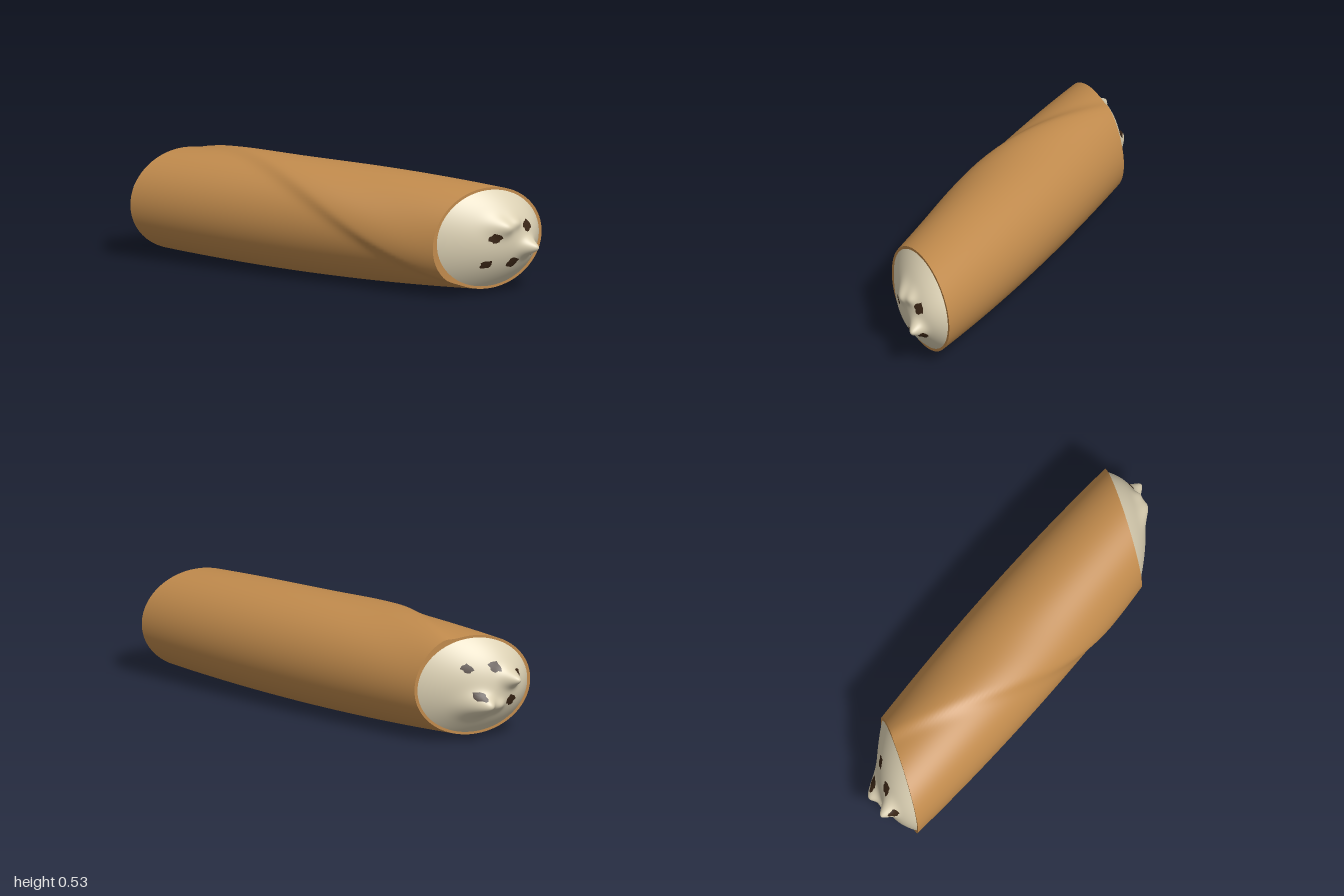
import * as THREE from 'three';
import { mergeVertices } from 'three/addons/utils/BufferGeometryUtils.js';

const CY = 0.26;      // height of the roll's axis
const INNER = 0.222;  // radius of the opening
const HALF = 0.78;    // half length along the axis
const SLANT = 0.63;   // both ends are cut on this diagonal

const shellMat = new THREE.MeshStandardMaterial({ color: 0xc08a4c, name: 'bakedPastry' });
const creamMat = new THREE.MeshStandardMaterial({ color: 0xdbd0b3, name: 'cream' });
const chipMat = new THREE.MeshStandardMaterial({ color: 0x3a2616, name: 'chocolate' });

const gauss = (d2, w) => Math.exp(-d2 / (w * w));

// Outer radius: slight barrel plus the overlapping flap that spirals around
function shellRadius(t, a) {
  const base = 0.259 - 0.025 * t * t;
  const x = HALF * t - SLANT * base * Math.sin(a);
  let d = a - (0.95 + 2 * x);
  d = Math.atan2(Math.sin(d), Math.cos(d));
  const flap = d > 0 ? gauss(d * d, 0.17) : gauss(d * d, 0.6);
  return base + 0.016 * flap;
}

function shellPoint(t, a, r) {
  const z = r * Math.sin(a);
  return [HALF * t - SLANT * z, CY + r * Math.cos(a), z];
}

// Closed rings of points joined into a smooth skin
function skin(rows, cols, point) {
  const pos = [], idx = [];
  for (let i = 0; i <= rows; i++) {
    for (let j = 0; j < cols; j++) pos.push(...point(i, (j / cols) * Math.PI * 2));
  }
  for (let i = 0; i < rows; i++) {
    for (let j = 0; j < cols; j++) {
      const k = (j + 1) % cols;
      const a = i * cols + j, b = i * cols + k, c = a + cols, d = b + cols;
      idx.push(a, b, c, b, d, c);
    }
  }
  const g = new THREE.BufferGeometry();
  g.setAttribute('position', new THREE.Float32BufferAttribute(pos, 3));
  g.setIndex(idx);
  g.computeVertexNormals();
  return g;
}

// Cream peaks of each end: [y, z, height, width]
const peaks = {
  1: [[0.22, -0.075, 0.062, 0.036], [0.33, 0.04, 0.04, 0.04], [0.345, -0.02, 0.02, 0.03]],
  '-1': [[0.305, 0.072, 0.062, 0.036], [0.19, -0.06, 0.08, 0.05], [0.18, 0.02, 0.02, 0.03]],
};
// Chips: [y, z, radius]
const chips = [[0.28, 0.07, 0.023], [0.32, -0.08, 0.028], [0.157, 0.082, 0.021],
  [0.157, -0.018, 0.026], [0.197, -0.114, 0.02]];

// Height of the cream beyond the slanted opening
function creamX(side, y, z) {
  const q = Math.min(1, ((y - CY) ** 2 + z * z) / (INNER * INNER));
  let h = 0.128 * (1 - q);
  for (const [py, pz, ph, pw] of peaks[side]) {
    h += ph * gauss((y - py) ** 2 + (z - pz) ** 2, pw) * Math.min(1, 4 * (1 - q));
  }
  return side * (HALF + h) - SLANT * z;
}

// Lay a flat disc geometry over the cream surface
function drape(flat, side, y0, z0, lift) {
  flat.deleteAttribute('uv');
  flat.deleteAttribute('normal');
  const g = mergeVertices(flat, 1e-5);
  const p = g.attributes.position;
  for (let i = 0; i < p.count; i++) {
    const y = y0 + p.getY(i), z = z0 - side * p.getX(i);
    p.setXYZ(i, creamX(side, y, z) + side * lift, y, z);
  }
  g.computeVertexNormals();
  return g;
}

// Ragged little disc
function chipDisc(r, seed) {
  const g = new THREE.RingGeometry(0, r, 14, 5);
  const p = g.attributes.position;
  for (let i = 0; i < p.count; i++) {
    const x = p.getX(i), y = p.getY(i), a = Math.atan2(y, x);
    const s = 0.92 + 0.12 * Math.sin(4 * a + seed) + 0.08 * Math.sin(7 * a + 2 * seed);
    p.setXY(i, x * s, y * s);
  }
  return g;
}

export function createModel() {
  const model = new THREE.Group();
  model.name = 'filledPastryRoll';
  const add = (name, geo, mat, parent = model) => {
    const m = new THREE.Mesh(geo, mat);
    m.name = name;
    parent.add(m);
    return m;
  };

  // Rolled shell
  const ROWS = 90, COLS = 128;
  add('shell', skin(ROWS, COLS, (i, a) => {
    const t = (i / ROWS) * 2 - 1;
    return shellPoint(t, a, shellRadius(t, a));
  }), shellMat);

  for (const side of [1, -1]) {
    const end = new THREE.Group();
    end.name = side > 0 ? 'leftEnd' : 'rightEnd';
    model.add(end);

    // Cut edge of the pastry
    add('rim', skin(1, COLS, (i, a) => {
      const outer = (i === 0) === (side > 0);
      return shellPoint(side, a, outer ? shellRadius(side, a) : INNER);
    }), shellMat, end);

    // Domed cream filling
    add('filling', drape(new THREE.RingGeometry(0, INNER, COLS, 40), side, CY, 0, 0), creamMat, end);

    // Chocolate chips, mirrored through the centre for the other end
    chips.forEach(([y, z, r], n) => {
      const cy = side > 0 ? y : 2 * CY - y;
      add('chip', drape(chipDisc(r, n * 1.7 + side), side, cy, side * z, 0.004), chipMat, end);
    });
  }
  return model;
}
